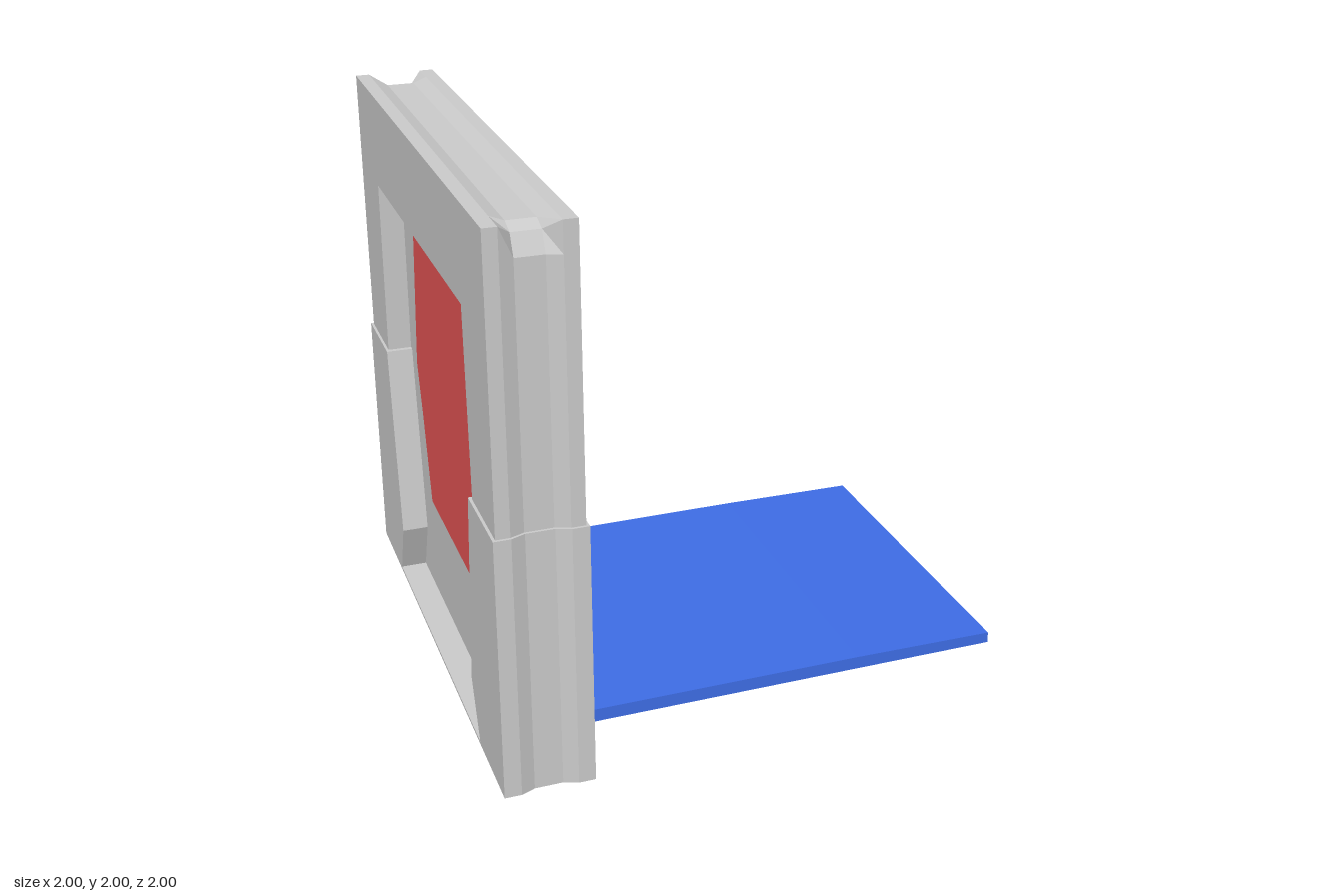
import * as THREE from 'three';

const CX = -0.84; // middle of the gate's thickness
const grey = new THREE.MeshStandardMaterial({ color: 0xcccccc, flatShading: true });
const red = new THREE.MeshStandardMaterial({ color: 0xe65555, side: THREE.DoubleSide });
const blue = new THREE.MeshStandardMaterial({ color: 0x3e6de6, flatShading: true });

function add(parent, name, geometry, material) {
  const mesh = new THREE.Mesh(geometry, material);
  mesh.name = name;
  parent.add(mesh);
  return mesh;
}

function box(parent, name, material, x0, x1, y0, y1, z0, z1) {
  const g = new THREE.BoxGeometry(x1 - x0, y1 - y0, z1 - z0);
  g.translate((x0 + x1) / 2, (y0 + y1) / 2, (z0 + z1) / 2);
  return add(parent, name, g, material);
}

// Each station holds inner edge, outer edge and groove floor as [z, y].
// The cross-section runs over the thickness with a groove in its outer rim.
function groovedSweep(stations, half) {
  const rings = stations.map(([inner, outer, floor]) => [
    [half, inner], [half, outer], [0.1, outer], [0.05, floor],
    [-0.05, floor], [-0.1, outer], [-half, outer], [-half, inner],
  ].map(([x, [z, y]]) => new THREE.Vector3(CX + x, y, z)));
  const pos = [];
  const tri = (...v) => v.forEach((p) => pos.push(p.x, p.y, p.z));
  for (let s = 0; s < rings.length - 1; s++) {
    const r = rings[s], q = rings[s + 1];
    for (let i = 0; i < r.length; i++) {
      const j = (i + 1) % r.length;
      tri(r[i], q[i], q[j]);
      tri(r[i], q[j], r[j]);
    }
  }
  // horizontal end caps, turned away from the neighbouring ring
  const cap = (ring, next) => {
    const sign = ring[1].y - next[1].y;
    const flat = ring.map((p) => new THREE.Vector2(p.x, p.z));
    for (const [a, b, c] of THREE.ShapeUtils.triangulateShape(flat, [])) {
      const n = ring[b].clone().sub(ring[a]).cross(ring[c].clone().sub(ring[a]));
      if (n.y * sign > 0) tri(ring[a], ring[b], ring[c]);
      else tri(ring[a], ring[c], ring[b]);
    }
  };
  cap(rings[0], rings[1]);
  cap(rings[rings.length - 1], rings[rings.length - 2]);
  const g = new THREE.BufferGeometry();
  g.setAttribute('position', new THREE.Float32BufferAttribute(pos, 3));
  g.computeVertexNormals();
  return g;
}

const mirrored = (stations) =>
  stations.map((st) => st.map(([z, y]) => [-z, y])).reverse();

export function createModel() {
  const model = new THREE.Group();
  model.name = 'gateWithRamp';

  // Upper frame: arch with a grooved rim and notched corners
  const half = [
    [[0.69, 0.95], [0.99, 0.95], [0.97, 0.95]],
    [[0.672, 1.6], [0.99, 1.89], [0.97, 1.89]],
    [[0.67, 1.65], [0.99, 2], [0.935, 1.96]],
    [[0.62, 1.65], [0.88, 2], [0.88, 1.98]],
  ];
  add(model, 'upperFrame', groovedSweep([...half, ...mirrored(half)], 0.15), grey);

  // Lower pillars: slightly thicker, pinched inward near the foot
  const pillar = [
    [[0.67, 0], [1, 0], [0.98, 0]],
    [[0.58, 0.22], [1, 0.22], [0.98, 0.22]],
    [[0.67, 0.97], [1, 0.97], [0.98, 0.97]],
  ];
  add(model, 'leftPillar', groovedSweep(pillar, 0.16), grey);
  add(model, 'rightPillar', groovedSweep(mirrored(pillar), 0.16), grey);

  // Recessed door and its sill
  box(model, 'doorPanel', grey, CX - 0.06, CX + 0.06, 0.002, 1.7, -0.75, 0.75);
  box(model, 'sill', grey, -1, -0.69, 0, 0.01, -0.67, 0.67);

  // Coloured door field on both faces
  const field = new THREE.Shape([
    [0.5, 1.5], [-0.49, 1.505], [-0.57, 0.95], [-0.51, 0.745],
    [-0.43, 0.41], [0.43, 0.41], [0.49, 0.745], [0.54, 0.95],
  ].map(([z, y]) => new THREE.Vector2(-z, y)));
  for (const side of [1, -1]) {
    const g = new THREE.ShapeGeometry(field);
    g.rotateY(Math.PI / 2); // shape x becomes -z
    if (side < 0) g.scale(1, 1, 1);
    g.translate(CX + side * 0.063, 0, 0);
    add(model, side > 0 ? 'frontDoorField' : 'backDoorField', g, red);
  }

  // Ramp: thin deck over an open underside with rims and cross ribs
  const ramp = new THREE.Group();
  ramp.name = 'ramp';
  model.add(ramp);
  const deckShape = new THREE.Shape([
    [-0.78, 0.025], [1, 0.025], [1, 0.042], [0.45, 0.049], [-0.69, 0.05], [-0.78, 0.05],
  ].map(([x, y]) => new THREE.Vector2(x, y)));
  const deck = new THREE.ExtrudeGeometry(deckShape, { depth: 1.34, bevelEnabled: false });
  deck.translate(0, 0, -0.67);
  add(ramp, 'rampDeck', deck, blue);
  for (const s of [1, -1]) {
    const z = s * 0.655;
    box(ramp, 'rampSideRim', blue, -0.69, 1, 0, 0.026, z - 0.015, z + 0.015);
  }
  for (const x of [-0.675, -0.42, 0.1, 0.985]) {
    box(ramp, 'rampRib', blue, x - 0.015, x + 0.015, 0, 0.026, -0.67, 0.67);
  }
  return model;
}
